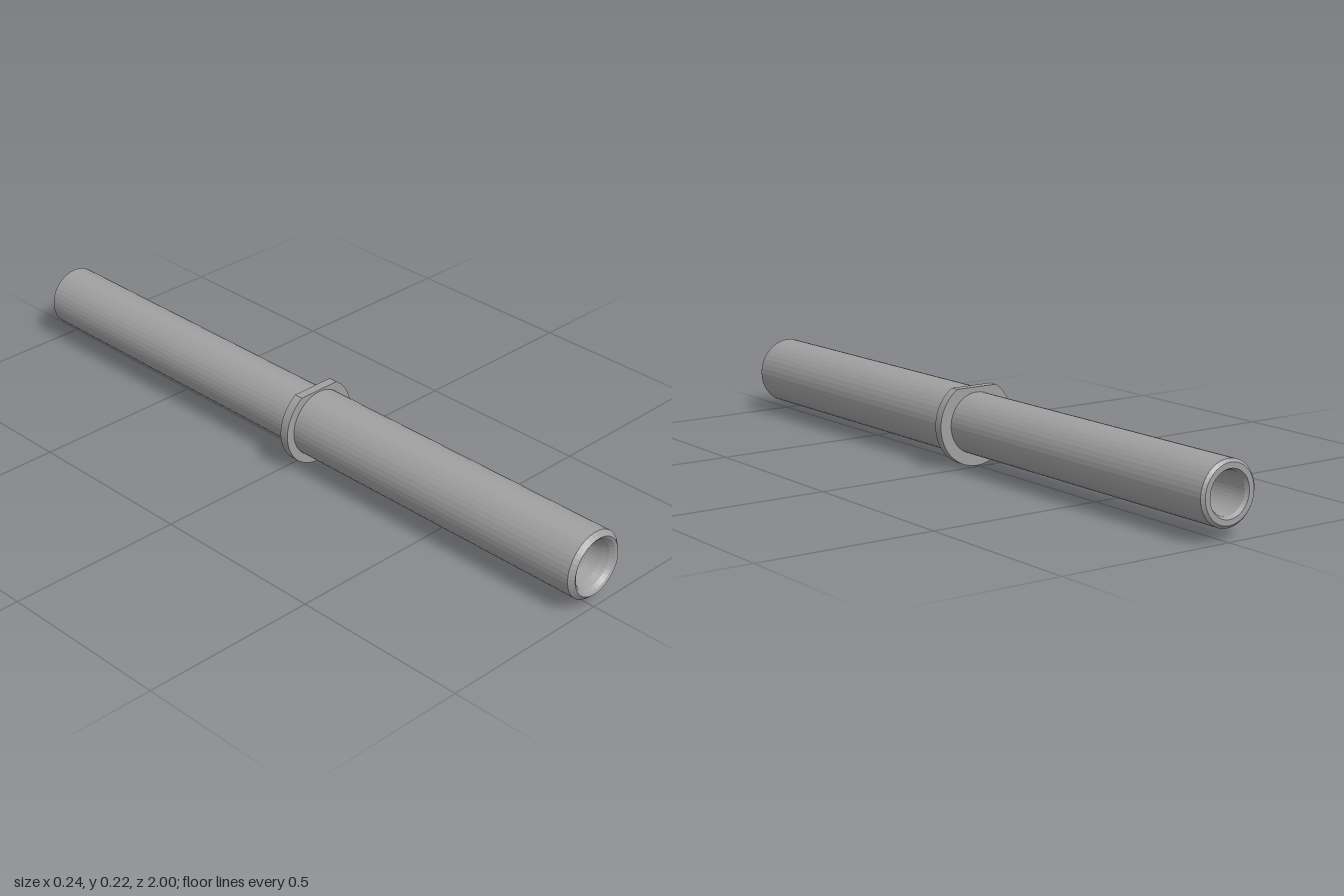
import * as THREE from 'three';

const AXIS_Y = 0.118, SEGMENTS = 40;

export function createModel() {
  const group = new THREE.Group();
  const steel = new THREE.MeshStandardMaterial({ color: 0xa0a0a0 });
  steel.name = 'steel grey';
  steel.flatShading = true;

  function add(name, geometry) {
    const mesh = new THREE.Mesh(geometry, steel);
    mesh.name = name;
    mesh.position.y = AXIS_Y;
    group.add(mesh);
  }

  // Closed wall section [radius, z]: outside back to front, then the bore front to back
  const section = [
    [0.056, -0.99], [0.062, -1], [0.077, -1], [0.085, -0.992],
    [0.085, 0.02], [0.094, 0.02], [0.094, 0.987], [0.081, 1],
    [0.074, 0.996], [0.066, 0.985], [0.06, 0.965], [0.055, 0.93], [0.056, -0.99],
  ].map(([r, z]) => new THREE.Vector2(r, z));
  add('hollowTube', new THREE.LatheGeometry(section, SEGMENTS).rotateX(Math.PI / 2));

  // Collar: a disc cut flat along the top, with a hole for the tube
  const radius = 0.118, flat = 0.099;
  const a = Math.asin(flat / radius);
  const outline = new THREE.Shape();
  outline.absarc(0, 0, radius, Math.PI - a, a + Math.PI * 2, false);
  outline.closePath();
  const hole = new THREE.Path();
  hole.absarc(0, 0, 0.08, 0, Math.PI * 2, true);
  outline.holes.push(hole);
  const collar = new THREE.ExtrudeGeometry(outline, { depth: 0.026, bevelEnabled: false, curveSegments: SEGMENTS });
  add('flatToppedCollar', collar.translate(0, 0, 0.012));

  return group;
}
